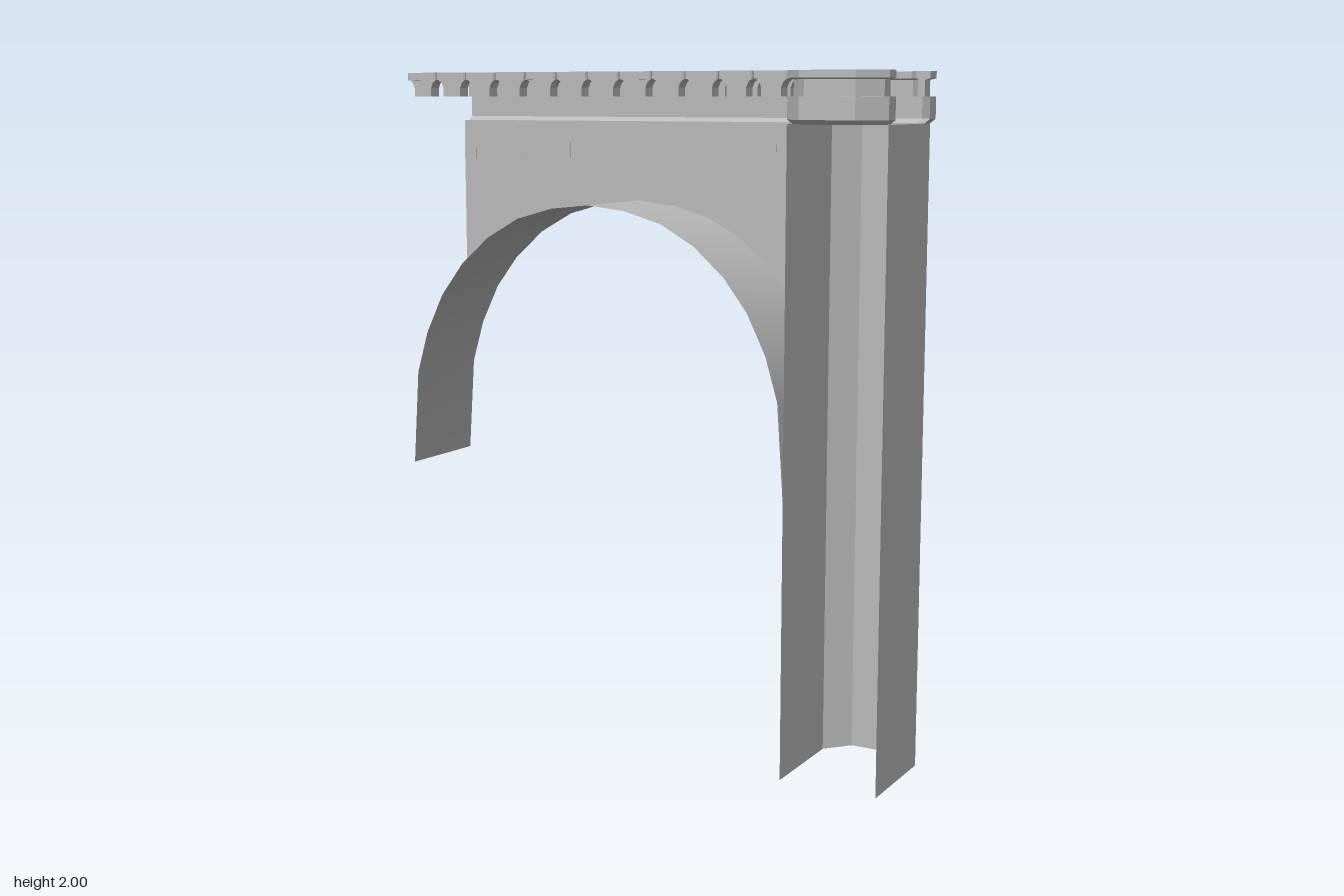
import * as THREE from 'three';

const LEFT = -0.78, SPRING = 0.482, RIGHT = 0.777;
const LEDGE = 1.857, DECK = 1.93, WALL_Z = -0.129, FRONT_Z = 0.172;
const BLOCKS = 12, PITCH = (SPRING - LEFT) / BLOCKS;

// Ruled surface between two rows of points
function sheet(a, b, smooth) {
  const pos = [], idx = [];
  a.forEach((p, i) => pos.push(...p, ...b[i]));
  for (let i = 0; i < a.length - 1; i++) {
    const k = i * 2;
    idx.push(k, k + 1, k + 2, k + 2, k + 1, k + 3);
  }
  let g = new THREE.BufferGeometry();
  g.setAttribute('position', new THREE.Float32BufferAttribute(pos, 3));
  g.setIndex(idx);
  if (!smooth) g = g.toNonIndexed();
  g.computeVertexNormals();
  return g;
}

// Sweep an [inset, y] profile along an [x, z] path with mitred corners;
// closed profiles become solids with end faces, open ones stay shells
function sweep(path, profile, closed) {
  const normals = path.slice(1).map(([x, z], i) =>
    new THREE.Vector2(-(z - path[i][1]), x - path[i][0]).normalize());
  const pos = [], idx = [], n = profile.length;
  path.forEach(([x, z], i) => {
    const a = normals[Math.max(i - 1, 0)], b = normals[Math.min(i, normals.length - 1)];
    const m = a.clone().add(b).divideScalar(1 + a.dot(b));
    profile.forEach(([d, y]) => pos.push(x + m.x * d, y, z + m.y * d));
  });
  for (let i = 0; i < path.length - 1; i++) {
    for (let j = 0; j < (closed ? n : n - 1); j++) {
      const a = i * n + j, b = i * n + (j + 1) % n;
      idx.push(a, b, a + n, b, b + n, a + n);
    }
  }
  if (closed) {
    const end = (path.length - 1) * n;
    const face = THREE.ShapeUtils.triangulateShape(profile.map(p => new THREE.Vector2(...p)), []);
    face.forEach(([a, b, c]) => idx.push(a, b, c, end + a, end + c, end + b));
  }
  let g = new THREE.BufferGeometry();
  g.setAttribute('position', new THREE.Float32BufferAttribute(pos, 3));
  g.setIndex(idx);
  g = g.toNonIndexed();
  g.computeVertexNormals();
  return g;
}

const shapeOf = pts => new THREE.Shape(pts.map(p => new THREE.Vector2(...p)));
const mirrored = pts => [...pts, ...pts.slice().reverse().map(([x, y]) => [-x, y])];

export function createModel() {
  const model = new THREE.Group();
  model.name = 'bridgeSection';
  const stone = new THREE.MeshStandardMaterial({ color: 0xb8b8b8, side: THREE.DoubleSide });
  stone.name = 'grey stone';
  const add = (parent, name, geometry, x = 0, y = 0, z = 0) => {
    const mesh = new THREE.Mesh(geometry, stone);
    mesh.name = name;
    mesh.position.set(x, y, z);
    parent.add(mesh);
  };

  // Arch curve, half of it mirrored about the crown
  const mid = (LEFT + SPRING) / 2;
  const half = [[-0.631, 0.81], [-0.611, 1.093], [-0.573, 1.22], [-0.515, 1.337], [-0.441, 1.433],
    [-0.346, 1.516], [-0.24, 1.575], [-0.122, 1.608], [0, 1.621]];
  const arch = [...half, ...half.slice(0, -1).reverse().map(([x, y]) => [-x, y])]
    .map(([x, y]) => [x + mid, y]);

  // Spandrel wall on the back only, and the arch underside
  add(model, 'spandrelWall',
    new THREE.ShapeGeometry(shapeOf([...arch, [SPRING, LEDGE], [LEFT, LEDGE]])), 0, 0, WALL_Z);
  add(model, 'archSoffit', sheet(
    arch.map(([x, y]) => [x, y, WALL_Z]), arch.map(([x, y]) => [x, y, FRONT_Z]), true));

  // Pier: hollow, open to the front, chamfered at the back
  const pier = [[SPRING, FRONT_Z], [SPRING, WALL_Z], [0.545, -0.2], [0.716, -0.2],
    [RIGHT, WALL_Z], [RIGHT, FRONT_Z]];
  add(model, 'pier', sheet(pier.map(([x, z]) => [x, 0, z]), pier.map(([x, z]) => [x, LEDGE, z])));

  // Deck, widening over the pier
  const edge = [[LEFT, 0.171], [SPRING, 0.171], [0.548, 0.24], [0.71, 0.24], [RIGHT, 0.171]];
  const deck = [...edge, ...edge.slice().reverse().map(([x, z]) => [x, -z])];
  add(model, 'deck', new THREE.ShapeGeometry(shapeOf(deck)).rotateX(Math.PI / 2), 0, DECK, 0);

  // Cornice below the deck: along the wall at the back, around the pier on both sides
  const ledgeProfile = [[0.042, LEDGE], [0.014, LEDGE], [0, 1.869], [0, DECK]];
  const cornice = sweep([[SPRING, 0.171], [LEFT, 0.171]], ledgeProfile, false);
  const capPath = [[RIGHT, 0.125], [RIGHT, 0.171], [0.71, 0.24], [0.548, 0.24],
    [SPRING, 0.171], [SPRING, 0.125]];
  const capBase = sweep(capPath, ledgeProfile, false);

  // Corbels under the back cornice
  const corbel = new THREE.BoxGeometry(0.044, 0.055, 0.072);
  for (let i = 0; i < 8; i++) {
    add(model, 'corbel', corbel, LEFT + 0.022 + i * 0.174, 1.765, WALL_Z - 0.035);
  }

  // Solid pier parapet with a projecting coping
  const capWall = sweep(capPath, [[0.016, DECK], [0.016, 1.976], [0, 1.98], [0, 2],
    [0.042, 2], [0.042, 1.98], [0.036, 1.976], [0.036, DECK]], true);

  // Coping block with nicked corners
  const w = PITCH / 2 - 0.0015, d = 0.0285, c = 0.004;
  const block = new THREE.ExtrudeGeometry(shapeOf([[-w, -d + c], [-w + c, -d], [w - c, -d], [w, -d + c],
    [w, d - c], [w - c, d], [-w + c, d], [-w, d - c]]), { depth: 0.022, bevelEnabled: false })
    .rotateX(Math.PI / 2);

  // Baluster: straight stem with a flared head
  const baluster = new THREE.ExtrudeGeometry(
    shapeOf(mirrored([[0.03, 0], [0.03, 0.025], [0.036, 0.039], [0.047, 0.048]])),
    { depth: 0.04, bevelEnabled: false }).translate(0, 0, -0.02);

  for (const s of [1, -1]) {
    const parapet = new THREE.Group();
    parapet.name = s > 0 ? 'frontParapet' : 'backParapet';
    parapet.scale.z = s;
    if (s < 0) add(parapet, 'cornice', cornice);
    add(parapet, 'pierCornice', capBase);
    add(parapet, 'pierParapet', capWall);
    for (let i = 0; i < BLOCKS; i++) {
      const x = LEFT + (i + 0.5) * PITCH;
      add(parapet, 'copingBlock', block, x, 2, 0.1425);
      add(parapet, 'baluster', baluster, x, DECK, 0.1425);
    }
    model.add(parapet);
  }
  return model;
}
